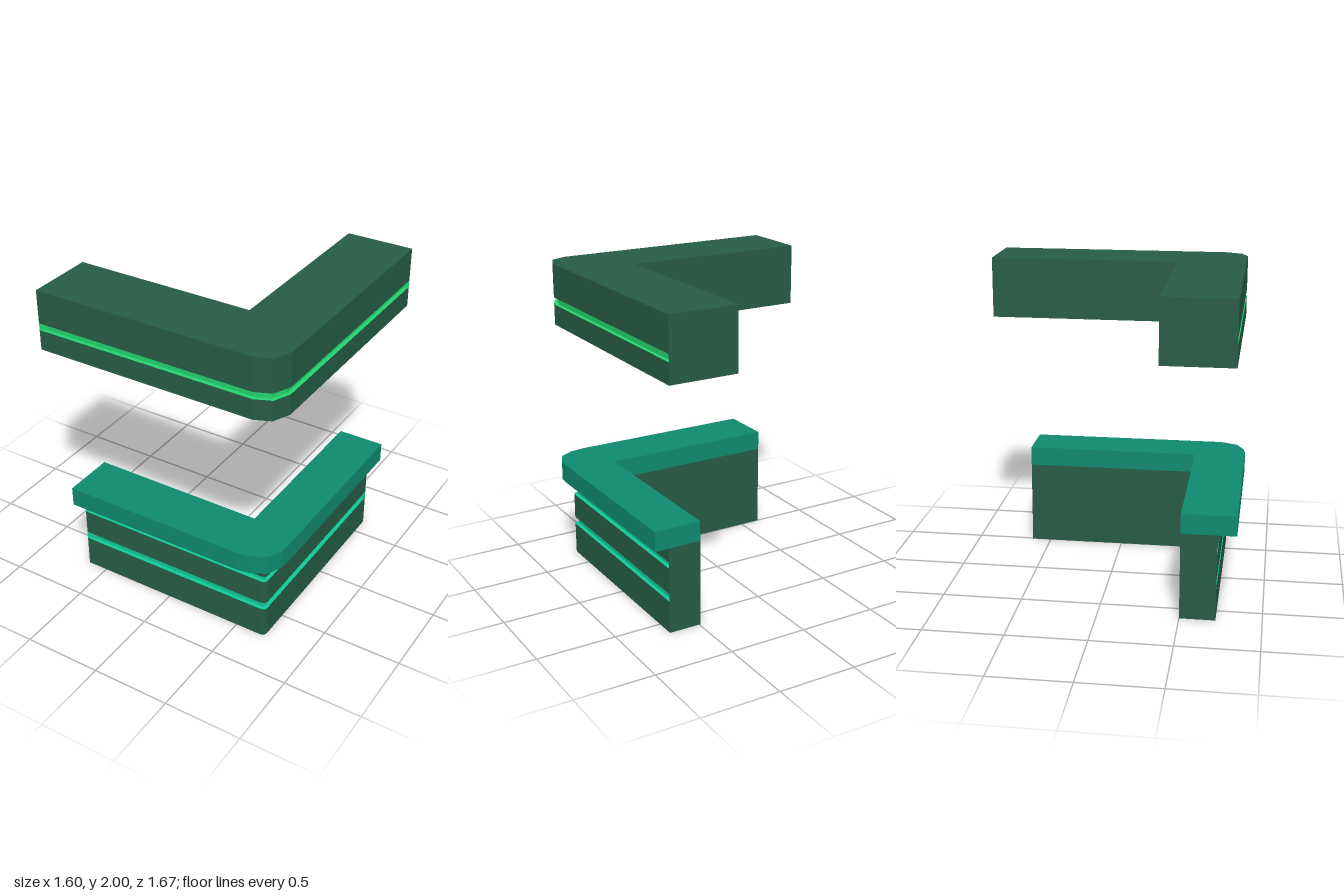
import * as THREE from 'three';

const paint = (name, color) => Object.assign(new THREE.MeshStandardMaterial({ color, flatShading: true }), { name });

// L-shaped plan: outer edge from the x-arm end round the corner to the z-arm end, then the inner edge.
// The inset pulls the outer edge inwards, fading out at both ends.
function plan({ x0, z0, front, side, inner, corner }, inset = 0, forward = 0) {
  const outer = [[x0, front], [x0 + 0.04, front], ...corner, [side, z0 + 0.04], [side, z0]];
  const last = corner.length - 1;
  const pts = outer.map(([x, z], i) => {
    if (i === 0 || i === outer.length - 1) return [x, z];
    const t = THREE.MathUtils.clamp((i - 2) / last, 0, 1);
    const a = (1 - t) * Math.PI / 2;
    return [x - inset * Math.cos(a), z - inset * Math.sin(a)];
  });
  pts.push([inner[0], z0], inner, [x0, inner[1]]);
  return pts.map(([x, z]) => [x, z > 0.6 ? z + forward : z]);
}

// Flat horizontal cap facing up or down
function cap(pts, y, up, holes = []) {
  const s = up ? -1 : 1;
  const toV = (list) => list.map(([x, z]) => new THREE.Vector2(x, s * z));
  const shape = new THREE.Shape(toV(pts));
  shape.holes = holes.map((h) => new THREE.Path(toV(h)));
  return new THREE.ShapeGeometry(shape).rotateX(s * Math.PI / 2).translate(0, y, 0);
}

// Side walls through a stack of rings { y, inset, forward, trim }; trim marks the band above the ring as stripe
function walls(spec, rings) {
  const body = [], trim = [];
  const outerEdges = spec.corner.length + 3;
  for (let k = 0; k < rings.length - 1; k++) {
    const lo = rings[k], hi = rings[k + 1];
    const a = plan(spec, lo.inset, lo.forward), b = plan(spec, hi.inset, hi.forward);
    a.forEach((p, i) => {
      const j = (i + 1) % a.length;
      if (lo.y === hi.y && i >= outerEdges) return;
      const P = [p[0], lo.y, p[1]], Q = [a[j][0], lo.y, a[j][1]];
      const R = [b[j][0], hi.y, b[j][1]], S = [b[i][0], hi.y, b[i][1]];
      (lo.trim && i < outerEdges ? trim : body).push(...P, ...Q, ...R, ...P, ...R, ...S);
    });
  }
  return [body, trim].map((pos) => {
    const g = new THREE.BufferGeometry();
    g.setAttribute('position', new THREE.Float32BufferAttribute(pos, 3));
    g.computeVertexNormals();
    return g;
  });
}

// Rings for a recessed stripe between two heights
const groove = (y0, y1, d = 0.025) => [
  { y: y0, trim: true }, { y: y0, inset: d, trim: true }, { y: y1, inset: d, trim: true }, { y: y1 },
];

export function createModel() {
  const model = new THREE.Group();
  const darkGreen = paint('darkGreen', 0x265c45);
  const teal = paint('teal', 0x0f8a6e);
  const brightTeal = paint('brightTeal', 0x10c896);
  const brightGreen = paint('brightGreen', 0x22d26e);
  const gold = paint('gold', 0xf0b83c);

  const group = (name) => {
    const g = new THREE.Group();
    g.name = name;
    model.add(g);
    return g;
  };
  const add = (parent, name, geometry, material) => {
    const m = new THREE.Mesh(geometry, material);
    m.name = name;
    parent.add(m);
  };

  // Lower counter base with two recessed stripes and a slightly flared top
  const base = group('counterBase');
  const baseSpec = {
    x0: -0.635, z0: -0.625, front: 0.72, side: 0.70, inner: [0.49, 0.50],
    corner: [[0.672, 0.72], [0.692, 0.712], [0.70, 0.69]],
  };
  const [baseWalls, baseTrim] = walls(baseSpec, [
    { y: 0 }, ...groove(0.205, 0.255), ...groove(0.42, 0.46), { y: 0.55, forward: 0.014 },
  ]);
  add(base, 'baseWalls', baseWalls, darkGreen);
  add(base, 'baseStripes', baseTrim, brightTeal);
  add(base, 'baseUnderside', cap(plan(baseSpec), 0, false), darkGreen);

  // Overhanging worktop
  const top = group('worktop');
  const topSpec = {
    x0: -0.635, z0: -0.625, front: 0.835, side: 0.79, inner: [0.49, 0.50],
    corner: [[0.57, 0.835], [0.65, 0.822], [0.74, 0.775], [0.785, 0.68], [0.79, 0.62]],
  };
  add(top, 'worktopEdge', walls(topSpec, [{ y: 0.55 }, { y: 0.675 }])[0], teal);
  add(top, 'worktopSurface', cap(plan(topSpec), 0.675, true), teal);
  add(top, 'worktopUnderside', cap(plan(topSpec), 0.55, false), teal);

  // Hanging canopy with one recessed stripe
  const canopy = group('canopy');
  const canopySpec = {
    x0: -0.8, z0: -0.835, front: 0.812, side: 0.798, inner: [0.365, 0.375],
    corner: [[0.65, 0.81], [0.75, 0.767], [0.798, 0.66]],
  };
  const [canopyWalls, canopyTrim] = walls(canopySpec, [{ y: 1.61 }, ...groove(1.74, 1.785), { y: 2 }]);
  add(canopy, 'canopyWalls', canopyWalls, darkGreen);
  add(canopy, 'canopyStripe', canopyTrim, brightGreen);
  add(canopy, 'canopyTop', cap(plan(canopySpec), 2, true), darkGreen);

  // Five eight-sided downlights sunk into the canopy underside
  const spots = [[0.55, -0.42], [0.55, 0.02], [0.55, 0.455], [0.1, 0.455], [-0.335, 0.455]];
  const octagon = ([x, z], r) => Array.from({ length: 8 }, (_, i) =>
    [x + r * Math.cos(i * Math.PI / 4), z + r * Math.sin(i * Math.PI / 4)]);
  add(canopy, 'canopyUnderside', cap(plan(canopySpec), 1.61, false, spots.map((s) => octagon(s, 0.085))), darkGreen);

  const depth = 0.04;
  for (const [x, z] of spots) {
    const recess = new THREE.CylinderGeometry(0.075, 0.085, depth, 8, 1, true);
    const inward = recess.index.array;
    for (let i = 0; i < inward.length; i += 3) [inward[i], inward[i + 1]] = [inward[i + 1], inward[i]];
    const flat = recess.toNonIndexed();
    flat.computeVertexNormals();
    add(canopy, 'lightRecess', flat.translate(x, 1.61 + depth / 2, z), darkGreen);
    const lamp = new THREE.CircleGeometry(0.075, 8).rotateX(Math.PI / 2).translate(x, 1.61 + depth, z);
    add(canopy, 'lamp', lamp, gold);
  }
  return model;
}
